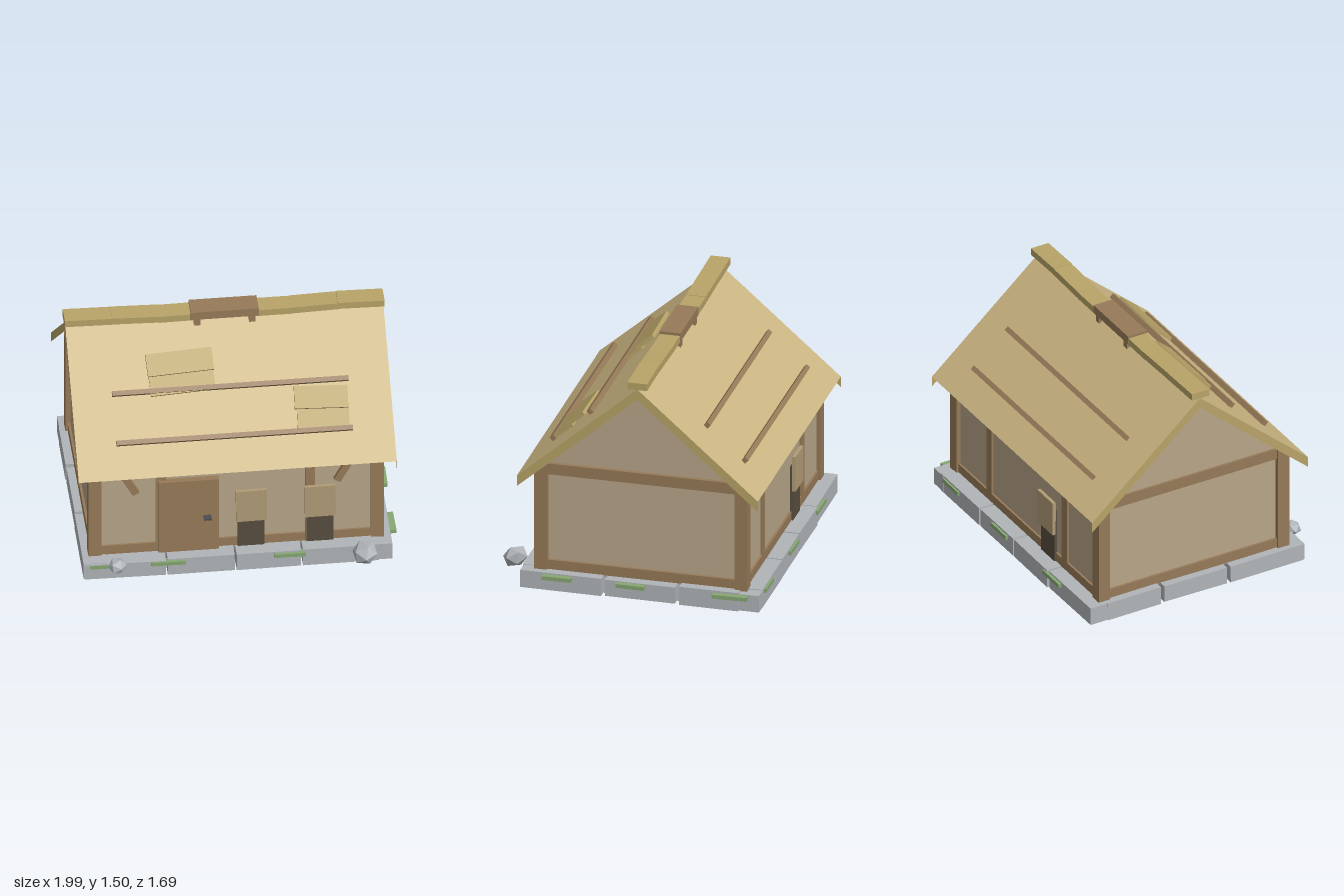
import * as THREE from 'three';

const mat = (color) => new THREE.MeshStandardMaterial({ color, flatShading: true, side: THREE.DoubleSide });

export function createModel() {
  const house = new THREE.Group();
  house.name = 'cottage';
  const M = {
    roof: mat(0xcbb582), ridge: mat(0xb8a468), wall: mat(0xb8a589), timber: mat(0x967a58),
    shutter: mat(0xb09b75), dark: mat(0x574d40), stone: mat(0xb0b4b8), moss: mat(0x86a772), iron: mat(0x4a4d52),
  };
  const CX = -0.01, CZ = -0.064;      // centre of the house
  const RIDGE = 1.455, EAVE = 0.79, HALF = 0.766;
  const SLOPE = (RIDGE - EAVE) / HALF, PITCH = Math.atan(SLOPE);

  const add = (name, geo, m, x = 0, y = 0, z = 0, rx = 0, ry = 0, rz = 0) => {
    const mesh = new THREE.Mesh(geo, m);
    mesh.name = name;
    mesh.position.set(x, y, z);
    mesh.rotation.set(rx, ry, rz);
    house.add(mesh);
    return mesh;
  };
  const box = (name, m, w, h, d, ...place) => add(name, new THREE.BoxGeometry(w, h, d), m, ...place);
  // box given by its limits
  const span = (name, m, x0, x1, y0, y1, z0, z1) =>
    box(name, m, x1 - x0, y1 - y0, z1 - z0, (x0 + x1) / 2, (y0 + y1) / 2, (z0 + z1) / 2);
  // box lying on the roof at depth z, lifted along the slope's normal
  const onRoof = (name, m, w, h, d, x, z, lift, spin = 0) => {
    const s = z > CZ ? 1 : -1;
    const y = RIDGE - Math.abs(z - CZ) * SLOPE + lift * Math.cos(PITCH);
    return box(name, m, w, h, d, x, y, z + s * lift * Math.sin(PITCH), s * PITCH, spin, 0);
  };
  const shapeOf = (pts) => new THREE.Shape(pts.map((p) => new THREE.Vector2(...p)));
  let seed = 7;
  const jitter = (a) => {
    seed = (seed * 16807) % 2147483647;
    return (seed / 2147483647 - 0.5) * 2 * a;
  };

  // Floor slab and stone footing
  span('floorSlab', M.stone, -0.855, 0.84, 0.005, 0.135, -0.675, 0.545);
  const longCuts = [-0.96, -0.445, -0.02, 0.39, 0.87];
  for (const z of [0.62, -0.75]) {
    for (let i = 0; i < 4; i++) {
      const a = longCuts[i], b = longCuts[i + 1];
      box('footingStone', M.stone, b - a - 0.012, 0.115 + jitter(0.008), 0.15 + jitter(0.01),
        (a + b) / 2, 0.09, z, 0, jitter(0.012), jitter(0.01));
    }
  }
  const sideCuts = [0.7, 0.16, -0.31, -0.71];
  for (const x of [-0.885, 0.88]) {
    for (let i = 0; i < 3; i++) {
      const a = sideCuts[i], b = sideCuts[i + 1];
      box('footingStone', M.stone, 0.14 + jitter(0.008), 0.115 + jitter(0.008), a - b - 0.025,
        x, 0.09, (a + b) / 2, jitter(0.012), jitter(0.012), 0);
    }
  }
  span('cornerStone', M.stone, 0.83, 0.95, 0.035, 0.145, -0.83, -0.7);

  // Moss strips
  for (const [x, w, z] of [[-0.845, 0.15, 0.68], [-0.435, 0.21, 0.69], [0.315, 0.195, 0.69],
    [0.73, 0.19, -0.82], [0.14, 0.19, -0.82], [-0.5, 0.2, -0.82]])
    box('moss', M.moss, w, 0.025, 0.045, x, 0.127, z, 0, jitter(0.04), 0);
  for (const [z, d] of [[0.45, 0.185], [-0.02, 0.18], [-0.65, 0.22]])
    box('moss', M.moss, 0.11, 0.025, d, 0.935, 0.127, z, 0, jitter(0.04), 0);

  // Loose rocks
  add('rock', new THREE.IcosahedronGeometry(0.058, 0), M.stone, -0.755, 0.15, 0.727, 0.3, 0.5, 0.2).scale.y = 0.75;
  add('rock', new THREE.IcosahedronGeometry(0.083, 0), M.stone, 0.77, 0.155, 0.765, 0.5, 0.2, 0.4).scale.y = 0.8;

  // Plaster body with gables
  const body = new THREE.ExtrudeGeometry(
    shapeOf([[-0.65, 0.13], [0.65, 0.13], [0.65, 0.87], [0, 1.43], [-0.65, 0.87]]),
    { depth: 1.76, bevelEnabled: false });
  body.rotateY(Math.PI / 2);
  add('walls', body, M.wall, CX - 0.88, 0, CZ);

  // Timber frame
  for (const [x0, x1] of [[-0.92, -0.84], [0.825, 0.905]]) {
    span('cornerPost', M.timber, x0, x1, 0.14, 0.86, 0.53, 0.61);
    span('cornerPost', M.timber, x0, x1, 0.14, 0.86, -0.742, -0.662);
    const out = x0 < 0 ? -0.905 : 0.84;
    span('sideSill', M.timber, out, out + 0.05, 0.145, 0.21, -0.67, 0.54);
    span('sideTopBeam', M.timber, out, out + 0.055, 0.785, 0.857, -0.67, 0.54);
  }
  for (const [z0, z1] of [[0.55, 0.598], [-0.728, -0.68]]) {
    span('sill', M.timber, -0.85, 0.83, 0.145, 0.21, z0, z1);
    span('topPlate', M.timber, -0.85, 0.83, 0.79, 0.86, z0, z1);
    span('stud', M.timber, -0.505, -0.44, 0.15, 0.83, z0, z1 + (z0 > 0 ? 0.005 : 0));
    span('stud', M.timber, 0.42, 0.48, 0.15, 0.83, z0, z1 + (z0 > 0 ? 0.005 : 0));
  }
  for (const s of [-1, 1])
    box('brace', M.timber, 0.045, 0.29, 0.04, s * 0.69 - 0.005, 0.73, 0.592, 0, 0, -s * 0.5);

  // Door with handle
  span('door', M.timber, -0.49, -0.115, 0.155, 0.69, 0.59, 0.63);
  span('doorHandle', M.iron, -0.212, -0.165, 0.408, 0.422, 0.63, 0.67);

  // Windows with hanging shutters
  for (const [x, side] of [[0.085, 1], [0.51, 1], [-0.285, -1]]) {
    const wallZ = side > 0 ? 0.6 : -0.728;
    box('windowOpening', M.dark, 0.165, 0.36, 0.02, x, 0.33, wallZ);
    box('shutter', M.shutter, 0.19, 0.23, 0.022, x, 0.465, wallZ + side * 0.018, 0, 0, 0.01);
  }

  // Roof sheets and gable end boards
  const X0 = -0.99, X1 = 0.975, LEN = Math.hypot(HALF, RIDGE - EAVE);
  for (const s of [-1, 1]) {
    const sheet = new THREE.PlaneGeometry(X1 - X0, LEN).rotateX(-Math.PI / 2);
    add('roofSheet', sheet, M.roof, (X0 + X1) / 2, (RIDGE + EAVE) / 2, CZ + s * HALF / 2, s * PITCH);
  }
  const board = new THREE.ShapeGeometry(shapeOf([[-HALF, EAVE], [-HALF, EAVE - 0.07], [0, RIDGE - 0.07],
    [HALF, EAVE - 0.07], [HALF, EAVE], [0, RIDGE]])).rotateY(Math.PI / 2);
  add('gableBoard', board, M.ridge, X1, 0, CZ);
  add('gableBoard', board.clone().rotateY(Math.PI), M.ridge, X0, 0, CZ);

  // Roof battens
  for (const z of [0.53, 0.295, -0.67, -0.43])
    onRoof('batten', M.timber, 1.46, 0.032, 0.03, -0.01, z, 0.016);

  // Thatch patches: two overlapping rows each
  for (const [x, z, w, spin] of [[-0.305, 0.21, 0.4, 0.05], [0.545, 0.42, 0.32, -0.04]]) {
    onRoof('patchLower', M.ridge, w, 0.02, 0.15, x, z + 0.045, 0.012, spin);
    onRoof('patchUpper', M.ridge, w + 0.01, 0.025, 0.14, x - 0.005, z - 0.042, 0.028, spin);
  }

  // Ridge caps
  const caps = [[-0.998, -0.705, 1.48, -0.02], [-0.705, -0.415, 1.474, -0.03], [-0.415, -0.2, 1.468, 0.01],
    [0.18, 0.4, 1.468, 0], [0.4, 0.69, 1.474, 0.03], [0.69, 0.978, 1.478, -0.02]];
  for (const [a, b, y, tilt] of caps)
    box('ridgeCap', M.ridge, b - a, 0.045, 0.125, (a + b) / 2, y, CZ, 0, 0, tilt);

  // Smoke vent on the ridge
  box('ventCap', M.timber, 0.42, 0.055, 0.135, -0.01, 1.48, CZ);
  for (const x of [-0.18, 0.16])
    for (const s of [-1, 1])
      box('ventLeg', M.timber, 0.04, 0.06, 0.035, x, 1.435, CZ + s * 0.045);
  box('ventCore', M.dark, 0.32, 0.05, 0.05, -0.01, 1.445, CZ);

  return house;
}
